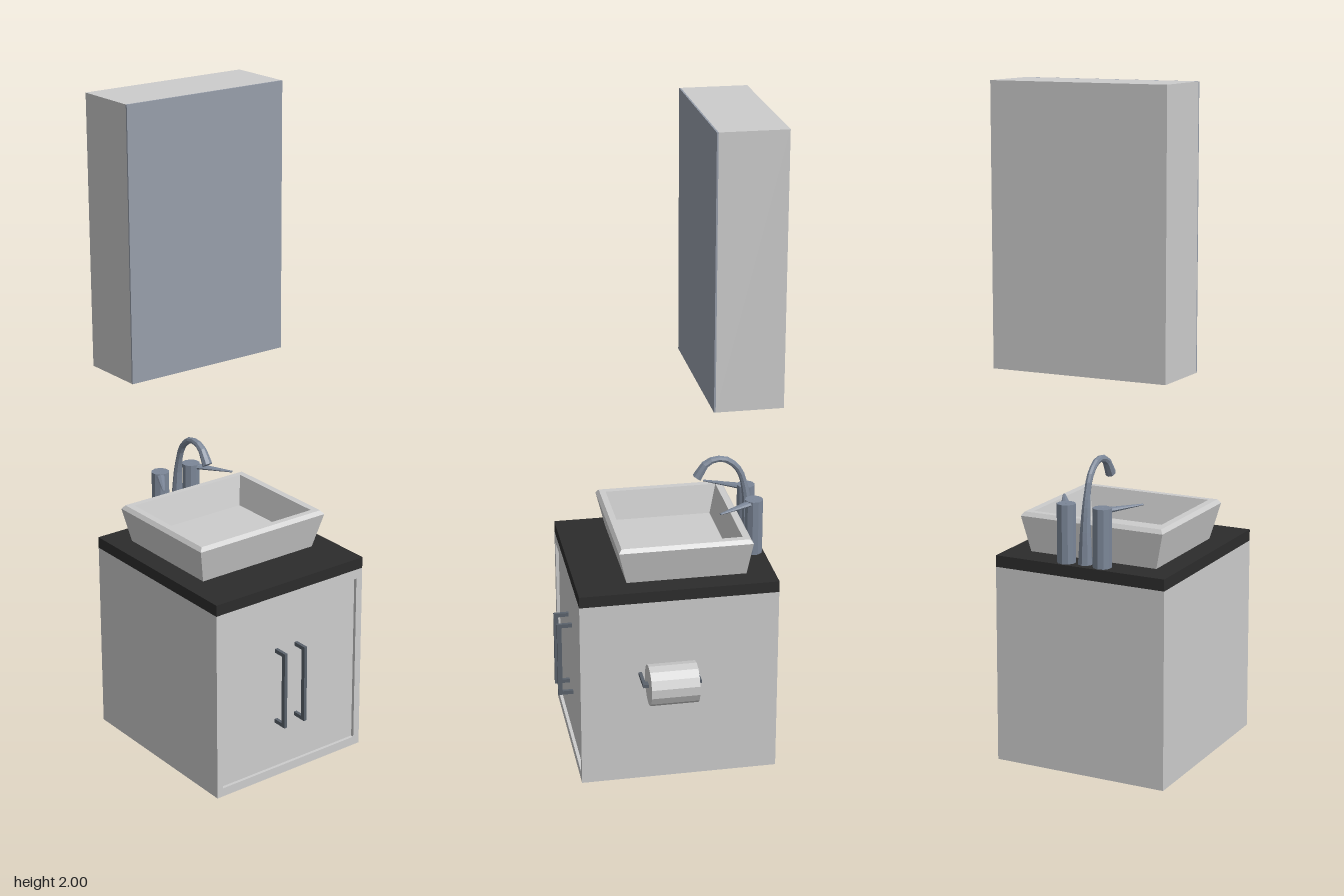
import * as THREE from 'three';

export function createModel() {
  const root = new THREE.Group();
  const mat = (name, color, extra = {}) => {
    const m = new THREE.MeshStandardMaterial({ color, flatShading: true, ...extra });
    m.name = name;
    return m;
  };
  const white = mat('white', 0xcccccc);
  const black = mat('black countertop', 0x2c2c2c);
  const glass = mat('mirror glass', 0x979eaa);
  const steel = mat('steel', 0x7c8798);
  const dark = mat('dark metal', 0x5a626c);

  const add = (name, geo, m, parent = root) => {
    const mesh = new THREE.Mesh(geo, m);
    mesh.name = name;
    parent.add(mesh);
    return mesh;
  };
  // Box given by its minimum and maximum corners
  const box = (name, a, b, m, parent) => {
    const g = new THREE.BoxGeometry(b[0] - a[0], b[1] - a[1], b[2] - a[2]);
    g.translate((a[0] + b[0]) / 2, (a[1] + b[1]) / 2, (a[2] + b[2]) / 2);
    return add(name, g, m, parent);
  };
  const group = (name) => {
    const g = new THREE.Group();
    g.name = name;
    root.add(g);
    return g;
  };

  const L = -0.34, R = 0.205, BACK = -0.32, FRONT = 0.283, MID = -0.07;

  // Vanity cabinet with a framed, slightly recessed front
  const cabinet = group('cabinet');
  box('cabinetBody', [L, 0, BACK], [R, 0.595, FRONT - 0.01], white, cabinet);
  const rect = (C, x0, y0, x1, y1) => {
    const p = new C();
    p.moveTo(x0, y0); p.lineTo(x1, y0); p.lineTo(x1, y1); p.lineTo(x0, y1);
    p.closePath();
    return p;
  };
  const frame = rect(THREE.Shape, L, 0, R, 0.595);
  frame.holes.push(rect(THREE.Path, -0.32, 0.027, 0.183, 0.565));
  const frameGeo = new THREE.ExtrudeGeometry(frame, { depth: 0.01, bevelEnabled: false });
  add('frontFrame', frameGeo.translate(0, 0, FRONT - 0.01), white, cabinet);
  box('countertop', [L, 0.595, BACK], [R, 0.63, FRONT], black);

  // Pair of door handles
  for (const x of [-0.114, -0.04]) {
    const h = group('doorHandle');
    box('handleBar', [x - 0.005, 0.175, 0.306], [x + 0.005, 0.42, 0.32], dark, h);
    for (const y of [0.175, 0.408])
      box('handlePost', [x - 0.005, y, 0.272], [x + 0.005, y + 0.012, 0.307], dark, h);
  }

  // Basin: rectangular cross-sections [halfWidth, y, zBack, zFront]
  const rings = [
    [0.204, 0.63, -0.235, 0.13],
    [0.23, 0.738, -0.25, 0.156],
    [0.221, 0.75, -0.241, 0.147],
    [0.2, 0.75, -0.222, 0.128],
    [0.18, 0.66, -0.2, 0.107],
  ].map(([w, y, b, f]) => [[-w, y, f], [w, y, f], [w, y, b], [-w, y, b]]);
  const pos = [];
  const quad = (a, b, c, d) => pos.push(...a, ...b, ...c, ...a, ...c, ...d);
  for (let i = 0; i < rings.length - 1; i++)
    for (let j = 0; j < 4; j++) {
      const k = (j + 1) % 4;
      quad(rings[i][j], rings[i][k], rings[i + 1][k], rings[i + 1][j]);
    }
  quad(...rings[rings.length - 1]);
  quad(...[...rings[0]].reverse());
  const basin = new THREE.BufferGeometry();
  basin.setAttribute('position', new THREE.Float32BufferAttribute(pos, 3));
  basin.computeVertexNormals();
  add('basin', basin, white).position.x = MID;

  // Tap: two valve columns with tapered levers
  const tap = group('tap');
  for (const s of [-1, 1]) {
    const x = MID + s * 0.058;
    add('valveColumn', new THREE.CylinderGeometry(0.028, 0.028, 0.175, 10), steel, tap)
      .position.set(x, 0.7175, -0.288);
    const lever = new THREE.CylinderGeometry(0.004, 0.016, 0.14, 8);
    lever.rotateX(Math.PI / 2).scale(1, 0.6, 1).translate(0, 0, 0.07);
    const l = add('lever', lever, steel, tap);
    l.position.set(x, 0.796, -0.29);
    l.rotation.y = s * 0.53;
  }

  // Tapered gooseneck spout
  const path = new THREE.CatmullRomCurve3([
    [0.63, -0.282], [0.74, -0.28], [0.82, -0.272], [0.885, -0.25],
    [0.92, -0.205], [0.912, -0.155], [0.865, -0.122],
  ].map(([y, z]) => new THREE.Vector3(MID, y, z)));
  const SEG = 18, SIDES = 8;
  const spout = new THREE.TubeGeometry(path, SEG, 1, SIDES);
  const p = spout.attributes.position, v = new THREE.Vector3();
  const radius = (t) => t < 0.5 ? 0.022 - 0.024 * t : 0.01 + 0.006 * Math.max(0, (t - 0.8) / 0.2);
  for (let i = 0; i < p.count; i++) {
    const t = Math.floor(i / (SIDES + 1)) / SEG;
    const c = path.getPointAt(t);
    v.fromBufferAttribute(p, i).sub(c).multiplyScalar(radius(t)).add(c);
    p.setXYZ(i, v.x, v.y, v.z);
  }
  spout.computeVertexNormals();
  add('spout', spout, steel, tap);
  const tip = add('spoutOutlet', new THREE.CircleGeometry(0.016, SIDES), steel, tap);
  tip.position.copy(path.getPointAt(1));
  tip.lookAt(tip.position.clone().add(path.getTangentAt(1)));

  // Paper roll on its two-armed holder
  const holder = group('rollHolder');
  const roll = new THREE.CylinderGeometry(0.062, 0.062, 0.145, 14).rotateX(Math.PI / 2);
  add('paperRoll', roll, white, holder).position.set(0.279, 0.36, 0.0175);
  for (const z of [-0.07, 0.097])
    box('holderArm', [R - 0.005, 0.355, z], [0.285, 0.365, z + 0.01], dark, holder);
  box('holderRod', [0.265, 0.355, -0.07], [0.285, 0.365, 0.107], dark, holder);

  // Wall cabinet with a full-size mirror front
  const wall = group('mirrorCabinet');
  box('mirrorCabinetBody', [L, 1.185, BACK], [R, 2, -0.12], white, wall);
  box('mirror', [L, 1.185, -0.12], [R, 2, -0.115], glass, wall);

  return root;
}
